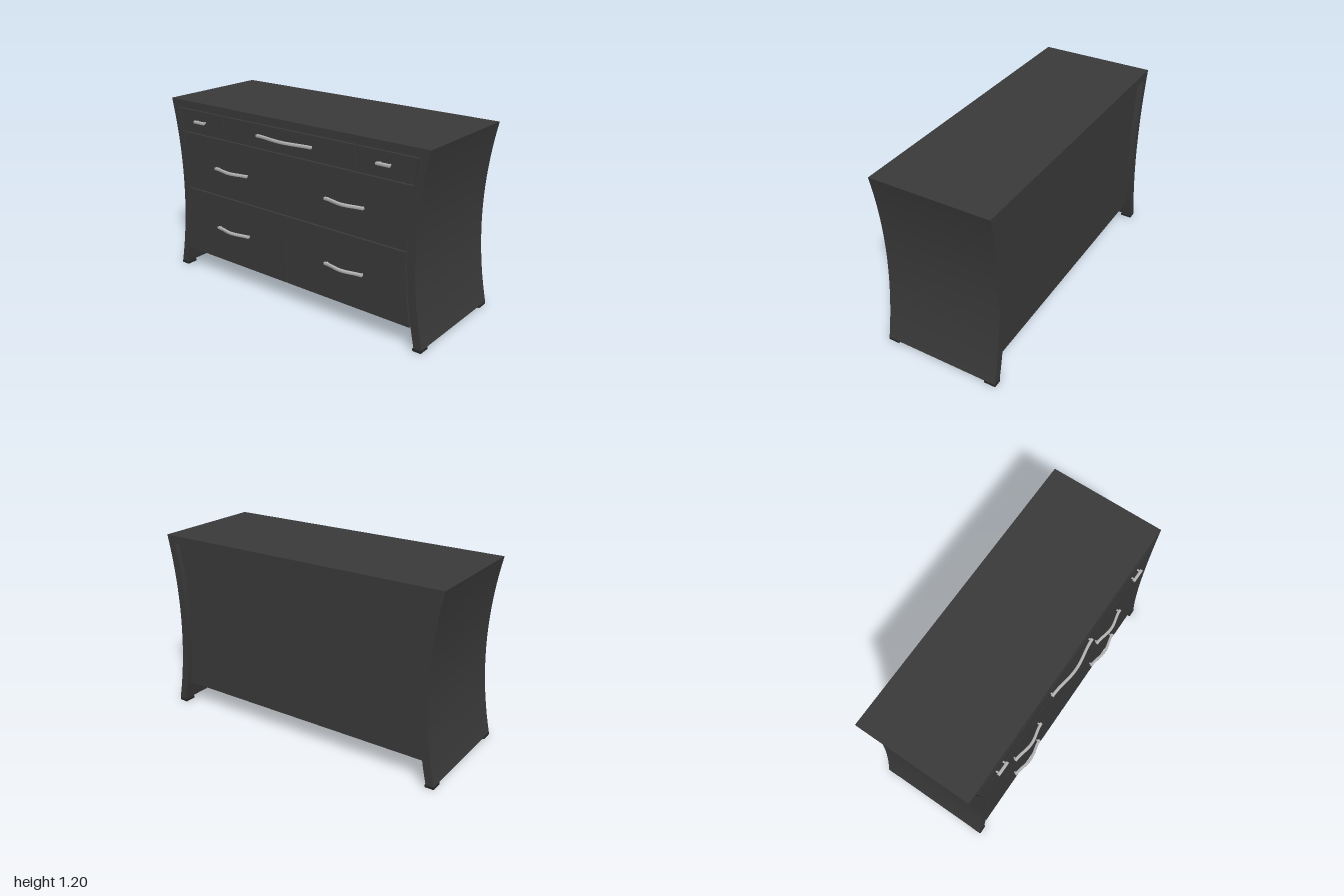
import * as THREE from 'three';
import { toCreasedNormals } from 'three/addons/utils/BufferGeometryUtils.js';
import { RoundedBoxGeometry } from 'three/addons/geometries/RoundedBoxGeometry.js';

const wood = new THREE.MeshStandardMaterial({ color: 0x3a3a3a });
const dark = new THREE.MeshStandardMaterial({ color: 0x262626 });
const metal = new THREE.MeshStandardMaterial({ color: 0xb4b4b4 });

const BACK = -0.41, FRONT = 0.36, TOP = 1.2, RAIL = 0.05, SIDE = 0.053, FOOT = 0.02;

// half-width of the dresser at height y: pinched at the waist
const outer = (y) => 0.933 + 0.067 * ((y - 0.61) / 0.59) ** 2;
const inner = (y) => outer(y) - SIDE;

// points [x, y] running up a side curve
function rise(curve, y0, y1, n = 20) {
  return Array.from({ length: n + 1 }, (_, i) => {
    const y = y0 + ((y1 - y0) * i) / n;
    return new THREE.Vector2(curve(y), y);
  });
}

function extrude(points, depth, bevel = 0) {
  const geo = new THREE.ExtrudeGeometry(new THREE.Shape(points), {
    depth, bevelEnabled: bevel > 0, bevelSize: bevel, bevelThickness: bevel, bevelOffset: -bevel, bevelSegments: 2,
  });
  return toCreasedNormals(geo, 0.5);
}

// panel between a left and a right curve
function panel(left, right, y0, y1, z0, z1) {
  const pts = [...rise(right, y0, y1), ...rise(left, y0, y1).reverse()];
  return extrude(pts, z1 - z0).translate(0, 0, z0);
}

function add(parent, name, geo, material) {
  const mesh = new THREE.Mesh(geo, material);
  mesh.name = name;
  parent.add(mesh);
  return mesh;
}

// bar handle bowed forwards, on two posts
function handle(width, bow) {
  const group = new THREE.Group();
  group.name = 'handle';
  const n = 24, near = bow > 0 ? 0.371 : 0.377, thick = 0.017;
  const line = (z) => Array.from({ length: n + 1 }, (_, i) => {
    const t = (i / n) * 2 - 1;
    return new THREE.Vector2((t * width) / 2, z + (bow * (1 + Math.cos(Math.PI * t))) / 2);
  });
  const bar = extrude([...line(near), ...line(near + thick).reverse()], 0.012, 0.003);
  add(group, 'handleBar', bar.rotateX(Math.PI / 2).translate(0, 0.006, 0), metal);
  for (const s of [-1, 1]) {
    const post = new THREE.CylinderGeometry(0.006, 0.006, 0.03, 12).rotateX(Math.PI / 2);
    add(group, 'handlePost', post.translate(s * (width / 2 - 0.012), 0, 0.366), metal);
  }
  return group;
}

export function createModel() {
  const model = new THREE.Group();
  model.name = 'dresser';

  // curved sides, mitred into the top
  for (const s of [-1, 1]) {
    const pts = [...rise(outer, FOOT, TOP), ...rise(inner, FOOT, TOP - RAIL).reverse()];
    const shape = pts.map((p) => new THREE.Vector2(p.x * s, p.y));
    add(model, 'sidePanel', extrude(shape, FRONT - BACK).translate(0, 0, BACK), wood);
    // feet
    for (const z of [FRONT - 0.034, BACK + 0.038]) {
      const foot = new RoundedBoxGeometry(0.06, FOOT, 0.078, 2, 0.005);
      add(model, 'foot', foot.translate(s * 0.97, FOOT / 2, z), dark);
    }
  }

  // top board
  const low = inner(TOP - RAIL);
  const topPts = [[-1, TOP], [-low, TOP - RAIL], [low, TOP - RAIL], [1, TOP]].map((p) => new THREE.Vector2(...p));
  add(model, 'topBoard', extrude(topPts, FRONT - BACK).translate(0, 0, BACK), wood);

  // carcass, set in from the back and behind the drawer fronts
  add(model, 'carcass', panel((y) => -inner(y), inner, 0.145, TOP - RAIL, BACK + 0.035, FRONT - 0.015), wood);

  // drawer fronts: left edge, right edge, bottom, top, handle x, handle y, handle width, bow
  const edge = (y) => inner(y) - 0.007;
  const at = (x) => () => x;
  const mirror = (f) => (y) => -f(y);
  const drawers = [[at(-0.514), at(0.514), 0.995, 1.144, 0, 1.076, 0.43, 0.024]];
  for (const s of [-1, 1]) {
    const rows = [
      [0.524, 0.995, 1.144, 0.72, 1.076, 0.09, 0],
      [0.004, 0.602, 0.986, 0.453, 0.79, 0.28, 0.022],
      [0.004, 0.14, 0.593, 0.453, 0.376, 0.28, 0.022],
    ];
    for (const [x, y0, y1, hx, hy, w, bow] of rows) {
      const sides = s > 0 ? [at(x), edge] : [mirror(edge), at(-x)];
      drawers.push([...sides, y0, y1, s * hx, hy, w, bow]);
    }
  }
  for (const [l, r, y0, y1, hx, hy, w, bow] of drawers) {
    const drawer = new THREE.Group();
    drawer.name = 'drawer';
    add(drawer, 'drawerFront', panel(l, r, y0, y1, FRONT - 0.018, FRONT + 0.002), wood);
    const grip = handle(w, bow);
    grip.position.set(hx, hy, 0);
    drawer.add(grip);
    model.add(drawer);
  }
  return model;
}
